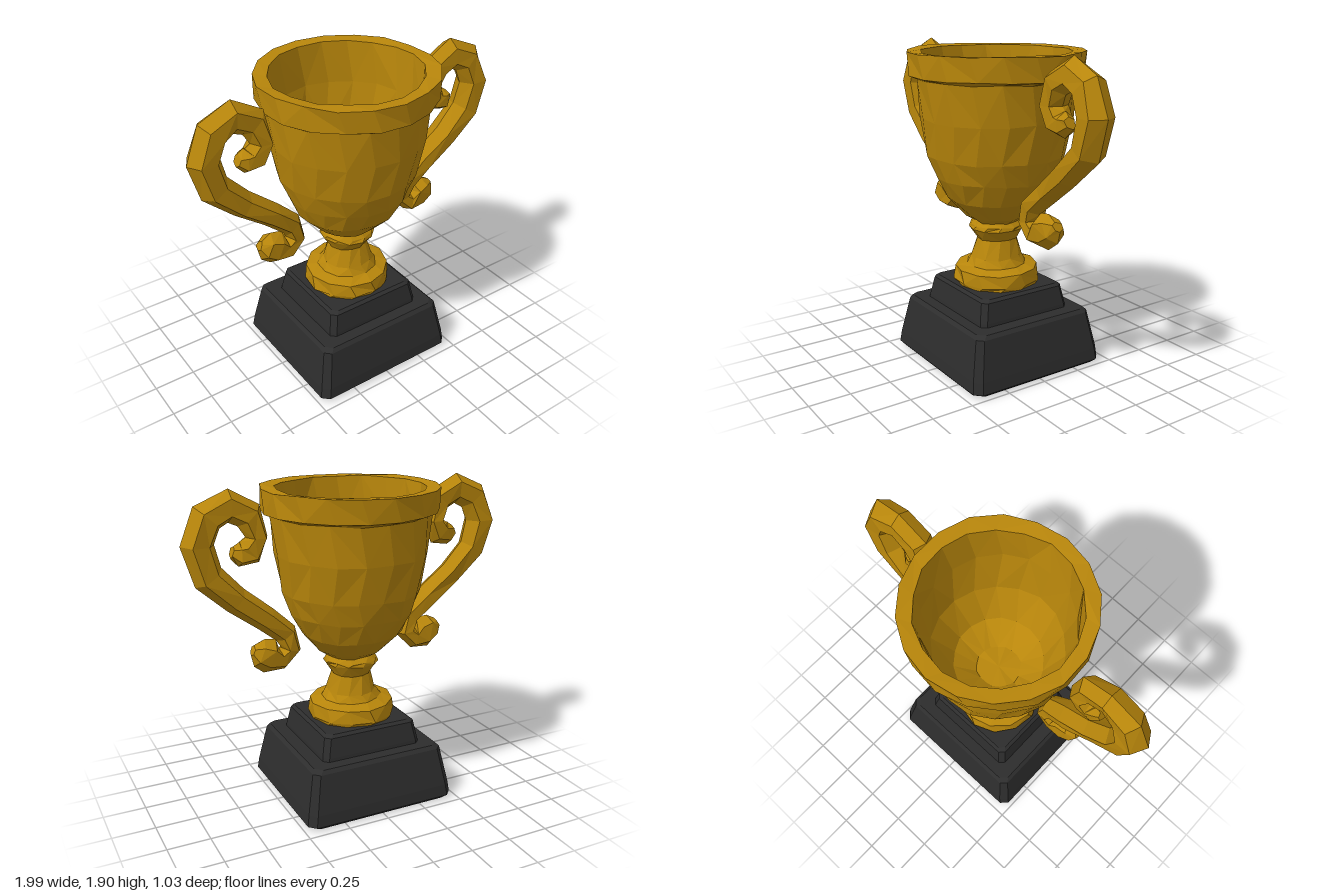
import * as THREE from 'three';

// Small seeded noise for the hand-hewn facets
function makeNoise(seed) {
  let s = seed;
  return (amount) => {
    s = (s * 16807) % 2147483647;
    return (s / 2147483647 - 0.5) * 2 * amount;
  };
}

// Skin closed rings (counter-clockwise around the direction of travel), cap both ends
function loft(rings) {
  const n = rings[0].length;
  const positions = rings.flat().flatMap((p) => [p.x, p.y, p.z]);
  const index = [];
  for (let i = 0; i < rings.length - 1; i++) {
    for (let j = 0; j < n; j++) {
      const k = (j + 1) % n;
      const a = i * n + j, b = i * n + k, c = a + n, d = b + n;
      if ((i + j) % 2) index.push(a, b, d, a, d, c);
      else index.push(a, b, c, b, d, c);
    }
  }
  const cap = (ringIndex, flip) => {
    const centre = new THREE.Vector3();
    rings[ringIndex].forEach((p) => centre.addScaledVector(p, 1 / n));
    const c = positions.length / 3;
    positions.push(centre.x, centre.y, centre.z);
    for (let j = 0; j < n; j++) {
      const a = ringIndex * n + j, b = ringIndex * n + ((j + 1) % n);
      if (flip) index.push(c, b, a);
      else index.push(c, a, b);
    }
  };
  cap(0, true);
  cap(rings.length - 1, false);
  const indexed = new THREE.BufferGeometry();
  indexed.setAttribute('position', new THREE.Float32BufferAttribute(positions, 3));
  indexed.setIndex(index);
  const geometry = indexed.toNonIndexed();
  geometry.computeVertexNormals();
  return geometry;
}

// Turned part from [radius, y] pairs
function turned(profile, sides, wobble, seed) {
  const noise = makeNoise(seed);
  return loft(profile.map(([r, y], i) => Array.from({ length: sides }, (_, j) => {
    const t = ((j + (i % 2) * 0.25) / sides) * Math.PI * 2;
    const q = r + noise(wobble);
    return new THREE.Vector3(Math.sin(t) * q, y + noise(wobble * 0.7), Math.cos(t) * q);
  })));
}

// Square block with clipped corners from [halfX, halfZ, clip, y] levels
function block(levels) {
  return loft(levels.map(([x, z, c, y]) => [
    [c - x, z], [x - c, z], [x, z - c], [x, c - z],
    [x - c, -z], [c - x, -z], [-x, c - z], [-x, z - c],
  ].map(([px, pz]) => new THREE.Vector3(px, y, pz))));
}

// Scroll handle along [x, y, radius, halfDepth] stations
const HANDLE = [
  [0.71, 1.555, 0.035, 0.035], [0.67, 1.54, 0.07, 0.06], [0.61, 1.55, 0.08, 0.07],
  [0.565, 1.63, 0.065, 0.07], [0.605, 1.75, 0.085, 0.07], [0.72, 1.81, 0.092, 0.07],
  [0.84, 1.755, 0.095, 0.08], [0.9, 1.61, 0.095, 0.085], [0.85, 1.43, 0.09, 0.085],
  [0.7, 1.285, 0.078, 0.08], [0.53, 1.155, 0.072, 0.075], [0.41, 1.05, 0.068, 0.07],
  [0.38, 0.955, 0.06, 0.065], [0.44, 0.9, 0.065, 0.065], [0.51, 0.925, 0.105, 0.075],
  [0.575, 0.955, 0.085, 0.065], [0.615, 0.975, 0.03, 0.03],
];

function handle(side, seed) {
  const noise = makeNoise(seed);
  const sides = 6;
  const centres = HANDLE.map(([x, y]) => new THREE.Vector3(side * x, y, 0.022));
  const rings = HANDLE.map(([, , r, depth], i) => {
    const before = centres[Math.max(i - 1, 0)];
    const after = centres[Math.min(i + 1, centres.length - 1)];
    const along = after.clone().sub(before).normalize();
    const across = new THREE.Vector3(-along.y, along.x, 0);
    return Array.from({ length: sides }, (_, j) => {
      const t = (j / sides) * Math.PI * 2;
      const p = centres[i].clone().addScaledVector(across, Math.cos(t) * r);
      p.z += Math.sin(t) * depth * 1.1 + noise(0.01);
      return p;
    });
  });
  return loft(rings);
}

export function createModel() {
  const gold = new THREE.MeshStandardMaterial({ color: 0xb8860b });
  gold.name = 'gold';
  const black = new THREE.MeshStandardMaterial({ color: 0x2d2d2d });
  black.name = 'black';

  const model = new THREE.Group();
  model.name = 'trophy';
  const add = (name, geometry, material) => {
    const mesh = new THREE.Mesh(geometry, material);
    mesh.name = name;
    model.add(mesh);
  };

  // Stepped plinth
  add('plinthLower', block([
    [0.455, 0.435, 0.05, 0], [0.475, 0.452, 0.04, 0.02], [0.465, 0.445, 0.04, 0.09],
    [0.42, 0.4, 0.035, 0.32], [0.4, 0.38, 0.04, 0.34],
  ]), black);
  add('plinthUpper', block([
    [0.32, 0.31, 0.03, 0.33], [0.317, 0.307, 0.03, 0.36],
    [0.295, 0.285, 0.03, 0.475], [0.275, 0.265, 0.03, 0.49],
  ]), black);

  // Foot, stem and collar
  add('stem', turned([
    [0.25, 0.485], [0.262, 0.51], [0.25, 0.585], [0.18, 0.605], [0.15, 0.65], [0.12, 0.76],
    [0.165, 0.83], [0.16, 0.85], [0.125, 0.89],
  ], 12, 0.005, 11), gold);

  // Hollow bowl: outside, lip, inside
  add('bowl', turned([
    [0.13, 0.87], [0.19, 0.91], [0.3, 1.02], [0.365, 1.15], [0.41, 1.28], [0.445, 1.5],
    [0.468, 1.725], [0.51, 1.745], [0.517, 1.877], [0.435, 1.872],
    [0.42, 1.62], [0.38, 1.32], [0.27, 1.1], [0.13, 1.01],
  ], 18, 0.007, 29), gold);

  add('leftHandle', handle(1, 41), gold);
  add('rightHandle', handle(-1, 67), gold);
  return model;
}
